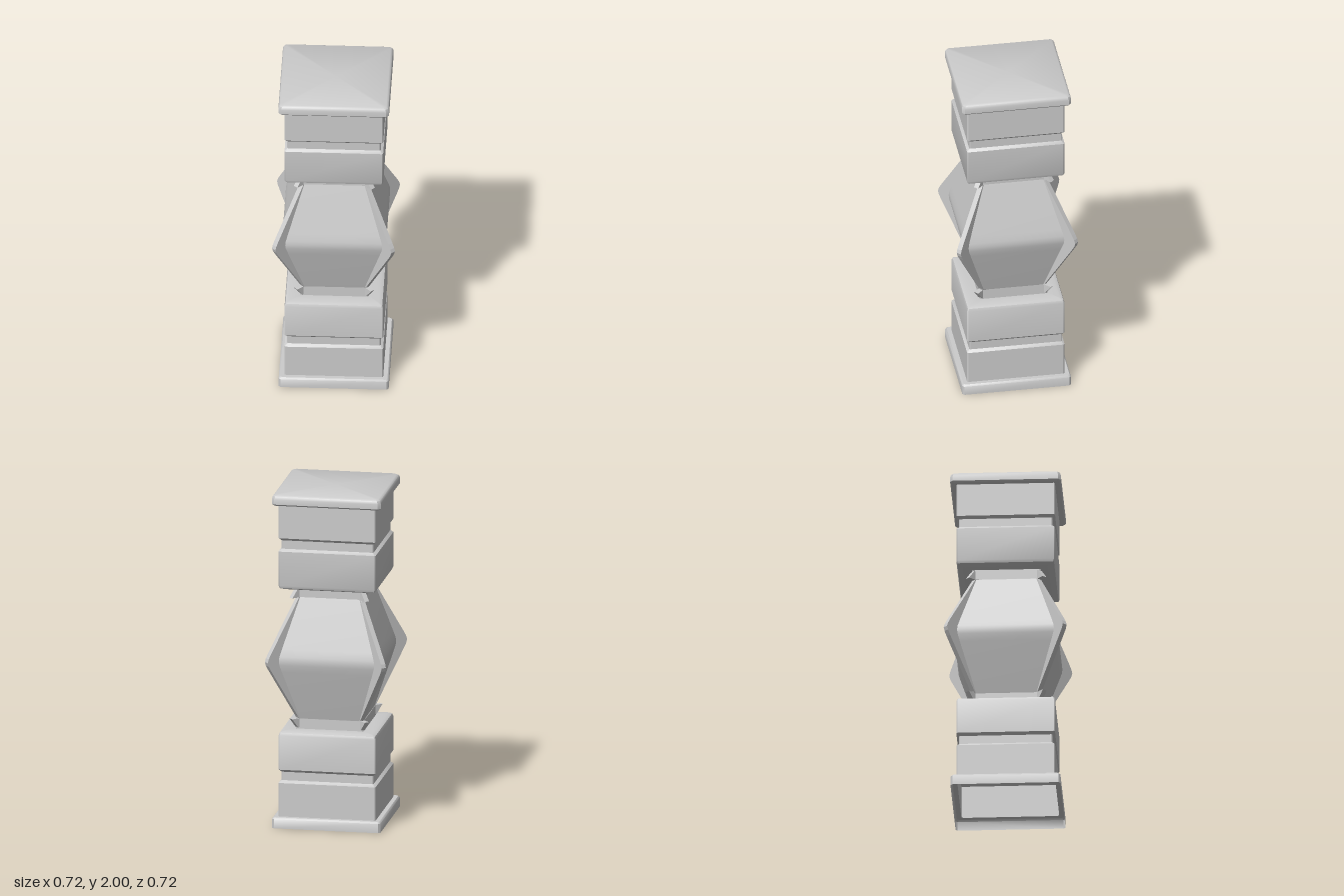
import * as THREE from 'three';
import { toCreasedNormals } from 'three/addons/utils/BufferGeometryUtils.js';

const material = new THREE.MeshStandardMaterial({ color: 0xcccccc, side: THREE.DoubleSide });

// Square ring with half width h and cut corners c
function ring(y, h, c) {
  const k = h - Math.min(c, h);
  return [[h, -k], [h, k], [k, h], [-k, h], [-h, k], [-h, -k], [-k, -h], [k, -h]]
    .map(([x, z]) => [x, y, z]);
}

// Square column section; profile holds [y, halfWidth] from bottom to top
function loft(name, profile, corner) {
  const rings = profile.map(([y, h]) => ring(y, h, corner));
  const pos = [];
  for (let i = 0; i < rings.length - 1; i++) {
    for (let j = 0; j < 8; j++) {
      const n = (j + 1) % 8;
      const a = rings[i][j], b = rings[i][n], c = rings[i + 1][n], d = rings[i + 1][j];
      pos.push(...a, ...d, ...b, ...b, ...d, ...c);
    }
  }
  const geo = new THREE.BufferGeometry();
  geo.setAttribute('position', new THREE.Float32BufferAttribute(pos, 3));
  const mesh = new THREE.Mesh(toCreasedNormals(geo, 0.7), material);
  mesh.name = name;
  return mesh;
}

// Four thin plates standing on the diagonals; outline in [radius, y]
function cornerFins(name, outline, thickness) {
  const group = new THREE.Group();
  group.name = name + 's';
  const shape = new THREE.Shape(outline.map(([r, y]) => new THREE.Vector2(r, y)));
  const geo = new THREE.ExtrudeGeometry(shape, { depth: thickness, bevelEnabled: false });
  geo.translate(0, 0, -thickness / 2);
  for (let i = 0; i < 4; i++) {
    const fin = new THREE.Mesh(geo, material);
    fin.name = name;
    fin.rotation.y = Math.PI / 4 + i * Math.PI / 2;
    group.add(fin);
  }
  return group;
}

const flip = (points) => points.map(([a, b]) => [2 - a, b]).reverse();
const flipOutline = (points) => points.map(([r, y]) => [r, 2 - y]).reverse();

export function createModel() {
  const model = new THREE.Group();
  model.name = 'baluster';

  // Plinth, open underneath
  model.add(loft('plinth', [[0, 0.32], [0.055, 0.32], [0.065, 0.312], [0.065, 0.285]], 0.012));

  // Flat cap with softened top edge
  model.add(loft('cap', [
    [1.937, 0.285], [1.937, 0.315], [1.945, 0.322], [1.975, 0.322],
    [1.992, 0.317], [2, 0.305], [2, 0],
  ], 0.016));

  // Grooved blocks, mirrored top and bottom
  const block = [
    [0.065, 0.287], [0.265, 0.287], [0.28, 0.272], [0.33, 0.272], [0.345, 0.287],
    [0.55, 0.287], [0.566, 0.281], [0.575, 0.262], [0.575, 0.2],
  ];
  model.add(loft('lowerBlock', block, 0.006), loft('upperBlock', flip(block), 0.006));

  // Necks between the blocks and the bulge
  const neck = [[0.575, 0.2], [0.635, 0.2]];
  model.add(loft('lowerNeck', neck, 0.008), loft('upperNeck', flip(neck), 0.008));

  // Small flared spurs at the neck corners
  const spur = [[0.24, 0.583], [0.277, 0.583], [0.318, 0.637], [0.24, 0.637]];
  model.add(cornerFins('lowerSpur', spur, 0.03), cornerFins('upperSpur', flipOutline(spur), 0.03));

  // Faceted bulge with a softened waist
  const half = [[0.635, 0.196], [0.66, 0.204], [0.93, 0.287], [0.975, 0.3]];
  model.add(loft('bulge', [...half, [1, 0.303], ...flip(half)], 0.008));

  // Ridges along the bulge corners, rounded at the waist
  const outer = [[0.27, 0.637], [0.468, 0.95], [0.484, 0.978]];
  const inner = [[0.25, 0.637], [0.39, 1], [0.25, 1.363]];
  model.add(cornerFins('ridge', [...outer, [0.491, 1], ...flipOutline(outer), ...inner.reverse()], 0.03));

  return model;
}
